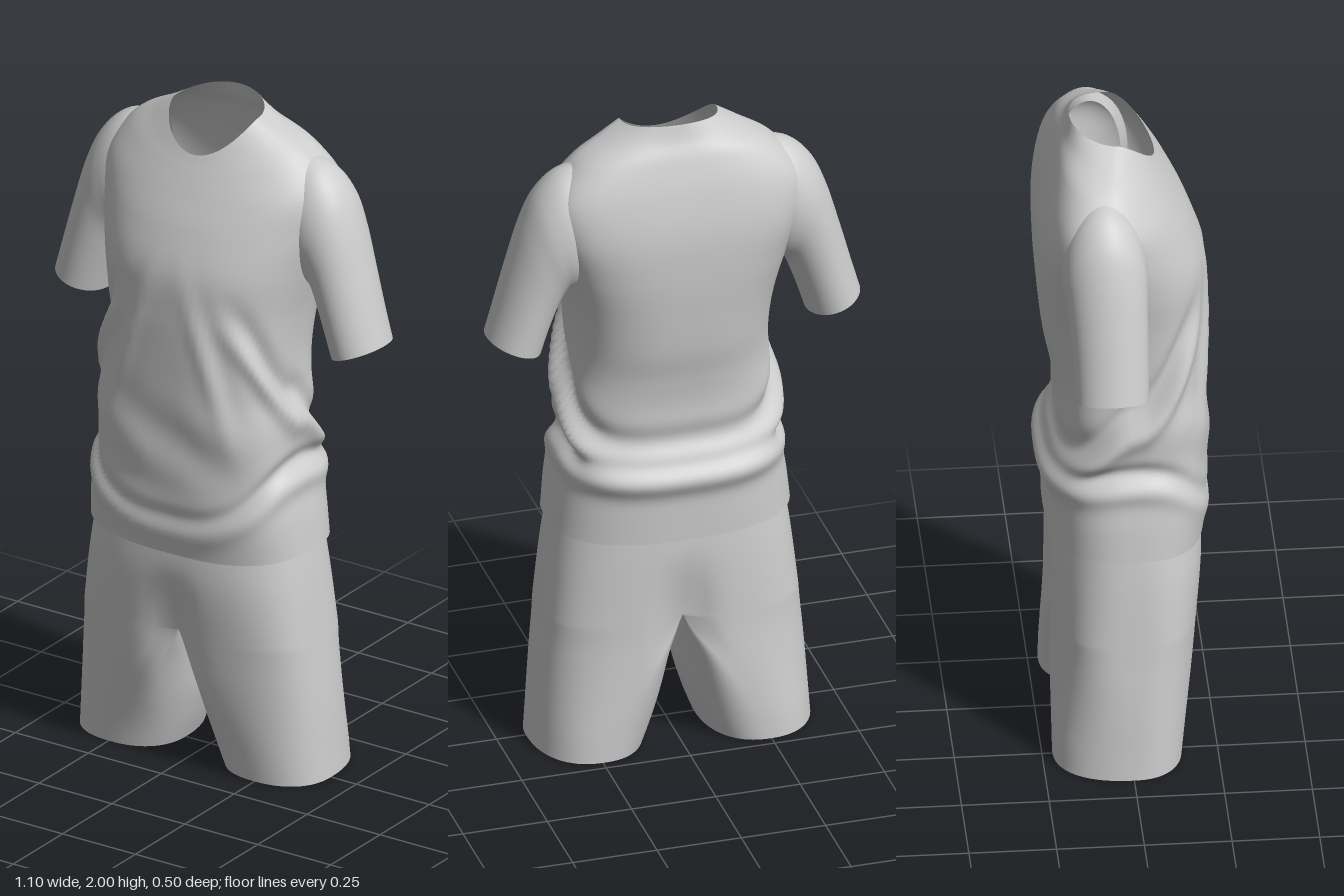
import * as THREE from 'three';
import { mergeGeometries, mergeVertices } from 'three/addons/utils/BufferGeometryUtils.js';

const SIDES = 96;
const cloth = new THREE.MeshStandardMaterial({ color: 0xcccccc, side: THREE.DoubleSide });
cloth.name = 'grey cloth';

const gauss = (d, w) => Math.exp(-(d * d) / (w * w));
const pow = (v, n) => Math.sign(v) * Math.pow(Math.abs(v), 2 / n);

// Smooth in-between rows of a table of cross-sections
function refine(keys, steps) {
  const rows = [];
  const last = keys.length - 1;
  for (let k = 0; k < last; k++) {
    const [p, q, r, s] = [keys[Math.max(k - 1, 0)], keys[k], keys[k + 1], keys[Math.min(k + 2, last)]];
    for (let i = 0; i < steps; i++) {
      const u = i / steps;
      rows.push(q.map((b, c) => {
        const slope = r[c] - p[c];
        const bend = 2 * p[c] - 5 * b + 4 * r[c] - s[c];
        const twist = 3 * (b - r[c]) + s[c] - p[c];
        return b + 0.5 * u * (slope + u * (bend + u * twist));
      }));
    }
  }
  rows.push(keys[last]);
  return rows;
}

// Open tube through closed cross-sections; point(row, angle) gives [x, y, z]
function loft(rows, point, flip = false) {
  const pos = [], index = [];
  rows.forEach((row, r) => {
    for (let j = 0; j < SIDES; j++) {
      pos.push(...point(row, (j / SIDES) * Math.PI * 2));
      if (r === rows.length - 1) continue;
      const a = r * SIDES + j, b = r * SIDES + (j + 1) % SIDES;
      const c = a + SIDES, d = b + SIDES;
      if (flip) index.push(a, b, c, b, d, c);
      else index.push(a, c, b, b, c, d);
    }
  });
  const geo = new THREE.BufferGeometry();
  geo.setAttribute('position', new THREE.Float32BufferAttribute(pos, 3));
  geo.setIndex(index);
  geo.computeVertexNormals();
  return geo;
}

function addMesh(group, name, geo) {
  const mesh = new THREE.Mesh(geo, cloth);
  mesh.name = name;
  group.add(mesh);
}

// Drapery: how far the shirt cloth stands out at angle a from the front and height y
function folds(a, x, y) {
  const c = Math.cos(a);
  // swag hanging from the chest sides down to the small of the back
  const swag = 0.97 + 0.55 * Math.pow((1 + c) / 2, 1.7);
  const fade = THREE.MathUtils.smoothstep(a, 0.35, 1.2);
  let f = fade * (0.026 * gauss(y - swag + 0.05, 0.045) - 0.022 * gauss(y - swag - 0.03, 0.045));
  // tuck above the hem, dipping to a V at the front
  const tuck = 0.97 - 0.17 * Math.pow(Math.max(c, 0), 2) - 0.04 * Math.max(-c, 0);
  const soft = 1 - 0.6 * Math.max(c, 0);
  f += soft * (0.014 * gauss(y - tuck + 0.055, 0.035) - 0.02 * gauss(y - tuck, 0.028));
  // long creases running down the front
  if (c > 0) {
    const crease = Math.abs(x) - 0.07 - (1.5 - y) * 0.3;
    f += c * (0.01 * gauss(crease, 0.025) - 0.009 * gauss(crease - 0.05, 0.03)) * gauss(y - 1.3, 0.2);
    f += c * 0.006 * Math.sin(x * 14 + y * 22) * gauss(y - 1.02, 0.13);
  }
  return f;
}

// Shirt body: yFront, ySide, yBack, half width, zFront, zBack,
// squareness of the front and of the back, zCentre
function shirtBody() {
  const keys = [
    [0.68, 0.70, 0.69, 0.355, 0.225, -0.228, 2.7, 2.6, 0],
    [0.80, 0.80, 0.80, 0.343, 0.24, -0.23, 2.8, 2.6, 0],
    [0.90, 0.90, 0.90, 0.325, 0.237, -0.228, 3, 2.7, 0],
    [1.00, 1.00, 1.00, 0.312, 0.237, -0.213, 3.1, 2.7, 0],
    [1.10, 1.10, 1.10, 0.308, 0.237, -0.2, 3.1, 2.7, 0],
    [1.20, 1.20, 1.20, 0.293, 0.237, -0.21, 2.9, 2.6, 0],
    [1.30, 1.30, 1.30, 0.29, 0.238, -0.23, 2.6, 2.6, 0],
    [1.42, 1.42, 1.42, 0.302, 0.238, -0.243, 2.4, 2.7, -0.02],
    [1.55, 1.55, 1.55, 0.33, 0.23, -0.252, 2.3, 3, -0.045],
    [1.67, 1.68, 1.68, 0.36, 0.19, -0.25, 2.2, 3.4, -0.07],
    [1.76, 1.79, 1.80, 0.365, 0.147, -0.228, 2.1, 3.3, -0.075],
    [1.82, 1.885, 1.90, 0.295, 0.116, -0.195, 2, 2.8, -0.065],
    [1.85, 1.94, 1.955, 0.205, 0.1, -0.168, 2, 2.2, -0.045],
    [1.87, 1.975, 2.0, 0.142, 0.09, -0.153, 2, 2, -0.03],
  ];
  return loft(refine(keys, 10), ([yF, yS, yB, w, zF, zB, nF, nB, zC], t) => {
    const s = Math.sin(t), c = Math.cos(t);
    const [yEnd, zEnd, n] = s > 0 ? [yF, zF, nF] : [yB, zB, nB];
    const y = yS + (yEnd - yS) * Math.pow(Math.abs(s), 1.6);
    const x = w * pow(c, n);
    const z = zC + Math.abs(pow(s, n)) * (zEnd - zC);
    const f = folds(Math.acos(THREE.MathUtils.clamp(s, -1, 1)), x, y);
    return [x + f * c, y, z + f * s];
  });
}

// Sleeve: outer x, outer y, inner x, inner y, zCentre, half depth
function sleeve(side) {
  const keys = [
    [0.23, 1.89, 0.25, 1.53, -0.075, 0.09],
    [0.335, 1.868, 0.295, 1.50, -0.078, 0.118],
    [0.405, 1.805, 0.322, 1.49, -0.077, 0.12],
    [0.45, 1.71, 0.337, 1.465, -0.074, 0.114],
    [0.492, 1.57, 0.355, 1.42, -0.07, 0.109],
    [0.525, 1.45, 0.376, 1.36, -0.068, 0.106],
    [0.552, 1.355, 0.395, 1.30, -0.068, 0.104],
  ];
  return loft(refine(keys, 6), ([ox, oy, ix, iy, zC, d], t) => {
    const k = (1 + Math.cos(t)) / 2;
    return [side * (ix + (ox - ix) * k), iy + (oy - iy) * k, zC + d * Math.sin(t)];
  }, side > 0);
}

// Shorts: y, outer x, inner x, x of the front and back crowns, zFront, zBack, squareness
function shorts() {
  const ring = (side) => ([y, xo, xi, xm, zF, zB, n], t) => {
    const s = Math.sin(t), c = Math.cos(t);
    const x = xm + Math.abs(pow(c, n)) * ((c > 0 ? xo : xi) - xm);
    let z = Math.abs(pow(s, n)) * (s > 0 ? zF : zB);
    // groove rising from the crotch
    z *= 1 - 0.2 * gauss(x, 0.06) * (1 - THREE.MathUtils.smoothstep(y, 0.38, 0.66));
    return [side * x, y, z];
  };
  const hips = [
    [0.42, 0.376, -0.376, 0, 0.203, -0.217, 3.1],
    [0.60, 0.357, -0.357, 0, 0.219, -0.217, 2.75],
    [0.76, 0.335, -0.335, 0, 0.212, -0.212, 2.5],
  ];
  const leg = [
    [0.00, 0.413, 0.085, 0.245, 0.147, -0.22, 2.3],
    [0.08, 0.407, 0.055, 0.22, 0.157, -0.22, 2.35],
    [0.18, 0.40, 0.027, 0.165, 0.172, -0.219, 2.45],
    [0.28, 0.391, 0.013, 0.095, 0.187, -0.218, 2.65],
    [0.36, 0.382, 0.005, 0.033, 0.197, -0.217, 2.9],
    [0.42, 0.376, 0, 0, 0.203, -0.217, 3.1],
  ];
  const parts = [loft(refine(hips, 10), ring(1))];
  for (const side of [1, -1]) parts.push(loft(refine(leg, 6), ring(side), side < 0));
  parts.forEach((p) => p.deleteAttribute('normal'));
  const geo = mergeVertices(mergeGeometries(parts), 1e-4);
  geo.computeVertexNormals();
  return geo;
}

export function createModel() {
  const model = new THREE.Group();
  model.name = 'shirtAndShorts';
  addMesh(model, 'shirtBody', shirtBody());
  addMesh(model, 'leftSleeve', sleeve(1));
  addMesh(model, 'rightSleeve', sleeve(-1));
  addMesh(model, 'shorts', shorts());
  return model;
}
